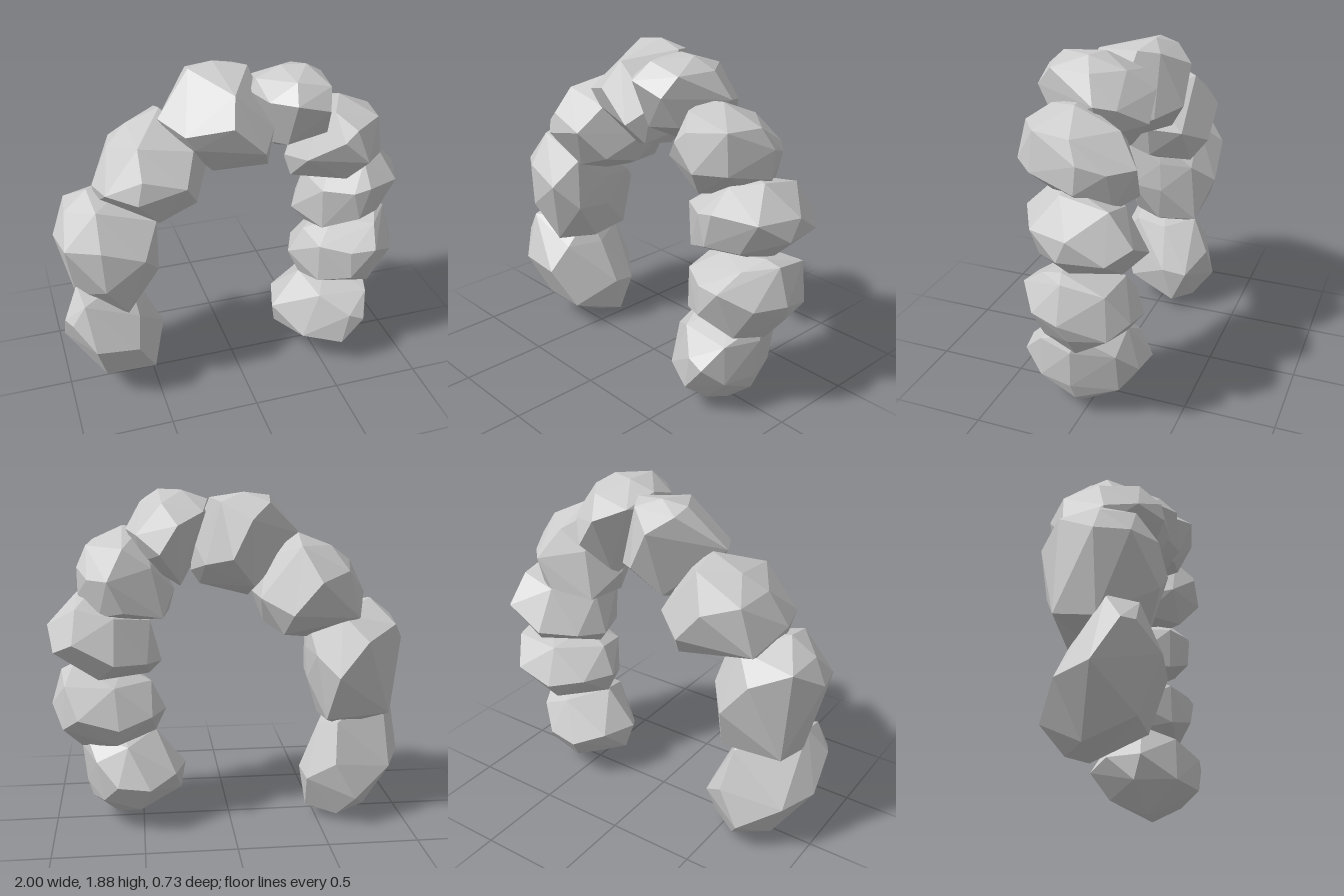
import * as THREE from 'three';
import { ConvexGeometry } from 'three/addons/geometries/ConvexGeometry.js';

const material = new THREE.MeshStandardMaterial({ color: 0xcccccc, flatShading: true });

// Small seeded generator for the irregular facets, returns -1..1
function seeded(seed) {
  let s = seed * 7919 + 17;
  return () => {
    s = (s * 16807) % 2147483647;
    return (s / 2147483647) * 2 - 1;
  };
}

// A boulder: its widest outline of [x, y, z offset], then narrowing rings
// towards a front and a back cap.
// bulge = size of the shoulder rings; lean = [x, y] shift of the front cap,
// the back cap shifts the other way.
function boulder(name, seed, outline, { front, back, bulge = 0.82, lean = [0, 0] }) {
  const rnd = seeded(seed);
  for (let i = 0; i < 5; i++) rnd();
  const n = outline.length;
  const cx = outline.reduce((a, p) => a + p[0], 0) / n;
  const cy = outline.reduce((a, p) => a + p[1], 0) / n;
  const mid = (front + back) / 2;
  const points = outline.map(([x, y, dz = 0]) => new THREE.Vector3(x, y, mid + dz + rnd() * 0.03));

  const ring = (scale, depth, side, start, step) => {
    const end = side > 0 ? front : back;
    for (let i = start; i < n; i += step) {
      const k = scale + rnd() * 0.04;
      points.push(new THREE.Vector3(
        cx + (outline[i][0] - cx) * k + lean[0] * side * depth,
        cy + (outline[i][1] - cy) * k + lean[1] * side * depth,
        mid + (end - mid) * (depth + rnd() * 0.05)));
    }
  };
  for (const side of [1, -1]) {
    ring(bulge, 0.62, side, side > 0 ? 0 : 1, 2);
    ring(bulge * 0.5, 0.97, side, side > 0 ? 1 : 2, 4);
  }
  const mesh = new THREE.Mesh(new ConvexGeometry(points), material);
  mesh.name = name;
  return mesh;
}

export function createModel() {
  const arch = new THREE.Group();
  arch.name = 'rockArch';

  // Thick pillar on the -x side
  arch.add(boulder('rightBaseBoulder', 1, [
    [-1, 0.56, 0.12], [-1, 0.36], [-0.79, 0.05, -0.08], [-0.62, 0, -0.1], [-0.44, 0.07, -0.12],
    [-0.41, 0.29, -0.05], [-0.52, 0.54], [-0.61, 0.7], [-0.91, 0.72, 0.05]],
  { front: 0.3, back: -0.31, bulge: 0.8, lean: [-0.05, 0.06] }));
  arch.add(boulder('rightPillarBoulder', 2, [
    [-1, 1.04], [-0.93, 1.18], [-0.8, 1.28], [-0.6, 1.25], [-0.45, 1.15],
    [-0.44, 1.0], [-0.45, 0.82], [-0.52, 0.6], [-0.65, 0.53], [-0.91, 0.62]],
  { front: 0.3, back: -0.33, bulge: 0.9 }));
  arch.add(boulder('rightShoulderBoulder', 3, [
    [-0.77, 1.31, 0.04], [-0.67, 1.5], [-0.55, 1.59, -0.06], [-0.37, 1.66, -0.06], [-0.2, 1.52],
    [-0.12, 1.34], [-0.19, 1.16], [-0.27, 1.12], [-0.44, 1.06], [-0.75, 1.2]],
  { front: 0.28, back: -0.37, bulge: 0.87, lean: [-0.02, 0.02] }));

  // Crown
  arch.add(boulder('crownBoulder', 4, [
    [-0.4, 1.64], [-0.21, 1.86, -0.12], [-0.07, 1.88, -0.1], [0.11, 1.85, -0.1], [0.2, 1.62],
    [0.21, 1.45], [0.16, 1.37], [-0.11, 1.3], [-0.33, 1.53]],
  { front: 0.3, back: -0.3, bulge: 0.8, lean: [0.04, -0.04] }));
  arch.add(boulder('crownSmallBoulder', 5, [
    [0.08, 1.76], [0.11, 1.83], [0.25, 1.88], [0.38, 1.885, 0.03], [0.48, 1.82],
    [0.56, 1.68, -0.06], [0.48, 1.5, -0.06], [0.27, 1.37, -0.1], [0.21, 1.45]],
  { front: 0.37, back: -0.24, bulge: 0.8, lean: [0, 0.04] }));

  // Stacked pillar on the +x side
  arch.add(boulder('leftShoulderBoulder', 6, [
    [0.47, 1.68, 0.06], [0.58, 1.69, 0.06], [0.78, 1.59], [0.83, 1.48, -0.08], [0.83, 1.33, -0.08],
    [0.75, 1.22, -0.08], [0.58, 1.18, -0.06], [0.33, 1.22], [0.3, 1.34], [0.4, 1.54]],
  { front: 0.36, back: -0.28, bulge: 0.8, lean: [0, 0.06] }));
  arch.add(boulder('leftUpperBoulder', 7, [
    [0.75, 1.35, 0.08], [0.84, 1.33, 0.06], [1, 1.17], [0.99, 1.05], [0.88, 0.94],
    [0.7, 0.85], [0.45, 0.87], [0.38, 0.95], [0.44, 1.18], [0.58, 1.28, 0.05]],
  { front: 0.3, back: -0.34, bulge: 0.78, lean: [-0.04, 0.01] }));
  arch.add(boulder('leftLowerBoulder', 8, [
    [0.87, 0.93, 0.07], [0.94, 0.9, 0.05], [1, 0.7], [0.96, 0.6], [0.84, 0.45],
    [0.6, 0.47], [0.42, 0.52], [0.36, 0.66], [0.44, 0.82], [0.6, 0.89, 0.05]],
  { front: 0.3, back: -0.33, bulge: 0.78, lean: [-0.03, 0] }));
  arch.add(boulder('leftBaseBoulder', 9, [
    [0.82, 0.53], [0.84, 0.44], [0.82, 0.22], [0.79, 0.13], [0.65, 0.01, 0.04],
    [0.51, 0.02, 0.04], [0.28, 0.17], [0.25, 0.31], [0.42, 0.53], [0.6, 0.56]],
  { front: 0.33, back: -0.31, bulge: 0.72, lean: [0.03, -0.02] }));

  return arch;
}
